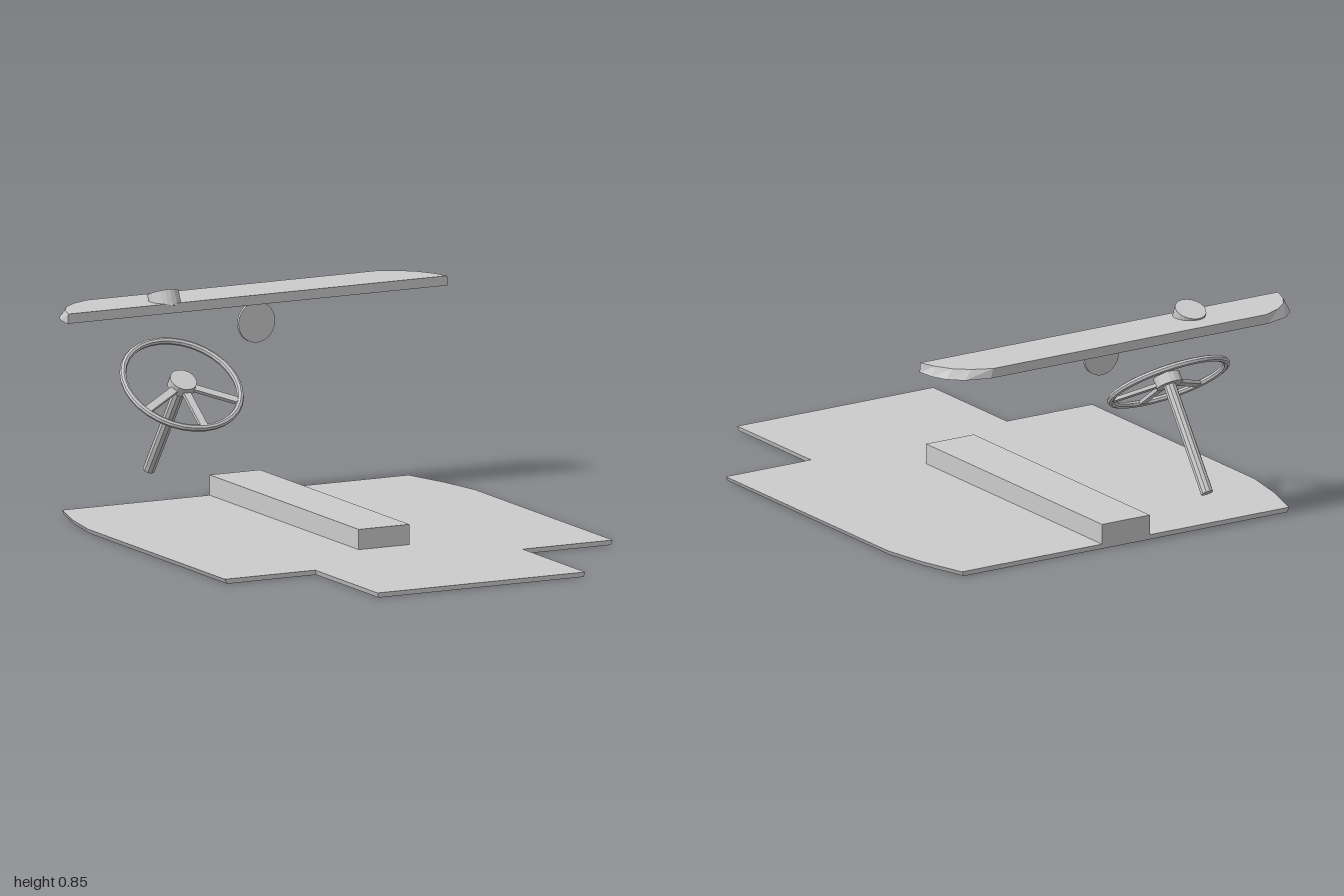
import * as THREE from 'three';

const grey = new THREE.MeshStandardMaterial({ color: 0xcccccc, flatShading: true });
grey.name = 'light grey';

function add(parent, name, geometry, x = 0, y = 0, z = 0) {
  const mesh = new THREE.Mesh(geometry, grey);
  mesh.name = name;
  mesh.position.set(x, y, z);
  parent.add(mesh);
  return mesh;
}

// Mirrors a half outline of [x, z] points, listed front to back on +x
const mirrored = (half) => [...half, ...half.map(([x, z]) => [-x, z]).reverse()];

// Solid slab between a lower and an upper outline with matching points
function slab(lower, upper, y0, y1) {
  const low = lower.map(([x, z]) => [x, y0, z]);
  const high = upper.map(([x, z]) => [x, y1, z]);
  const positions = [];
  const face = (...corners) => corners.forEach((c) => positions.push(...c));
  const flat = upper.map(([x, z]) => new THREE.Vector2(x, -z));
  for (const [a, b, c] of THREE.ShapeUtils.triangulateShape(flat, [])) {
    face(high[a], high[b], high[c]);
    face(low[c], low[b], low[a]);
  }
  low.forEach((p, i) => {
    const j = (i + 1) % low.length;
    face(p, low[j], high[j], p, high[j], high[i]);
  });
  const geometry = new THREE.BufferGeometry();
  geometry.setAttribute('position', new THREE.Float32BufferAttribute(positions, 3));
  geometry.computeVertexNormals();
  return geometry;
}

function makeSteeringWheel() {
  const wheel = new THREE.Group();
  wheel.name = 'steeringWheel';
  // Local y is the steering axis, local +z the low side of the wheel
  add(wheel, 'rim', new THREE.TorusGeometry(0.228, 0.013, 8, 32).rotateX(Math.PI / 2));
  add(wheel, 'hub', new THREE.CylinderGeometry(0.052, 0.052, 0.04, 16), 0, 0.006, 0);
  add(wheel, 'column', new THREE.CylinderGeometry(0.024, 0.024, 0.45, 10), 0, -0.225, 0);
  for (const angle of [-Math.PI / 3, 0, Math.PI / 3]) {
    const spoke = new THREE.BoxGeometry(0.03, 0.014, 0.2).translate(0, 0, 0.125).rotateY(angle);
    add(wheel, 'spoke', spoke);
  }
  wheel.position.set(-0.36, 0.505, -0.715);
  wheel.rotation.x = 0.62;
  return wheel;
}

export function createModel() {
  const model = new THREE.Group();
  model.name = 'cabinInterior';

  // Floor pan, slightly narrower underneath
  const floor = mirrored([
    [0.437, 1], [0.437, 0.5], [0.817, 0.5], [0.817, -0.6], [0.785, -0.78], [0.73, -0.97],
  ]);
  add(model, 'floor', slab(floor.map(([x, z]) => [x * 0.988, z]), floor, 0, 0.018));
  add(model, 'centreTunnel', new THREE.BoxGeometry(0.213, 0.085, 1.195), -0.002, 0.0525, -0.3725);

  // Dashboard with rounded far corners, leaning inwards at the ends
  const dashLower = mirrored([[0.8, -0.79], [0.793, -0.86], [0.768, -0.92], [0.715, -0.97], [0.62, -1]]);
  const dashUpper = mirrored([[0.798, -0.79], [0.775, -0.86], [0.738, -0.92], [0.685, -0.965], [0.61, -1]]);
  add(model, 'dashboard', slab(dashLower, dashUpper, 0.763, 0.8));

  // Round gauge set at a slant through the dashboard
  const gauge = add(model, 'gauge', new THREE.CylinderGeometry(0.06, 0.06, 0.062, 20), -0.36, 0.8, -0.853);
  gauge.rotation.x = -0.39;

  // Round disc hanging below the dashboard edge
  const disc = new THREE.CylinderGeometry(0.077, 0.077, 0.012, 28).rotateX(Math.PI / 2);
  add(model, 'hangingDisc', disc, 0, 0.695, -0.803);

  model.add(makeSteeringWheel());
  return model;
}
